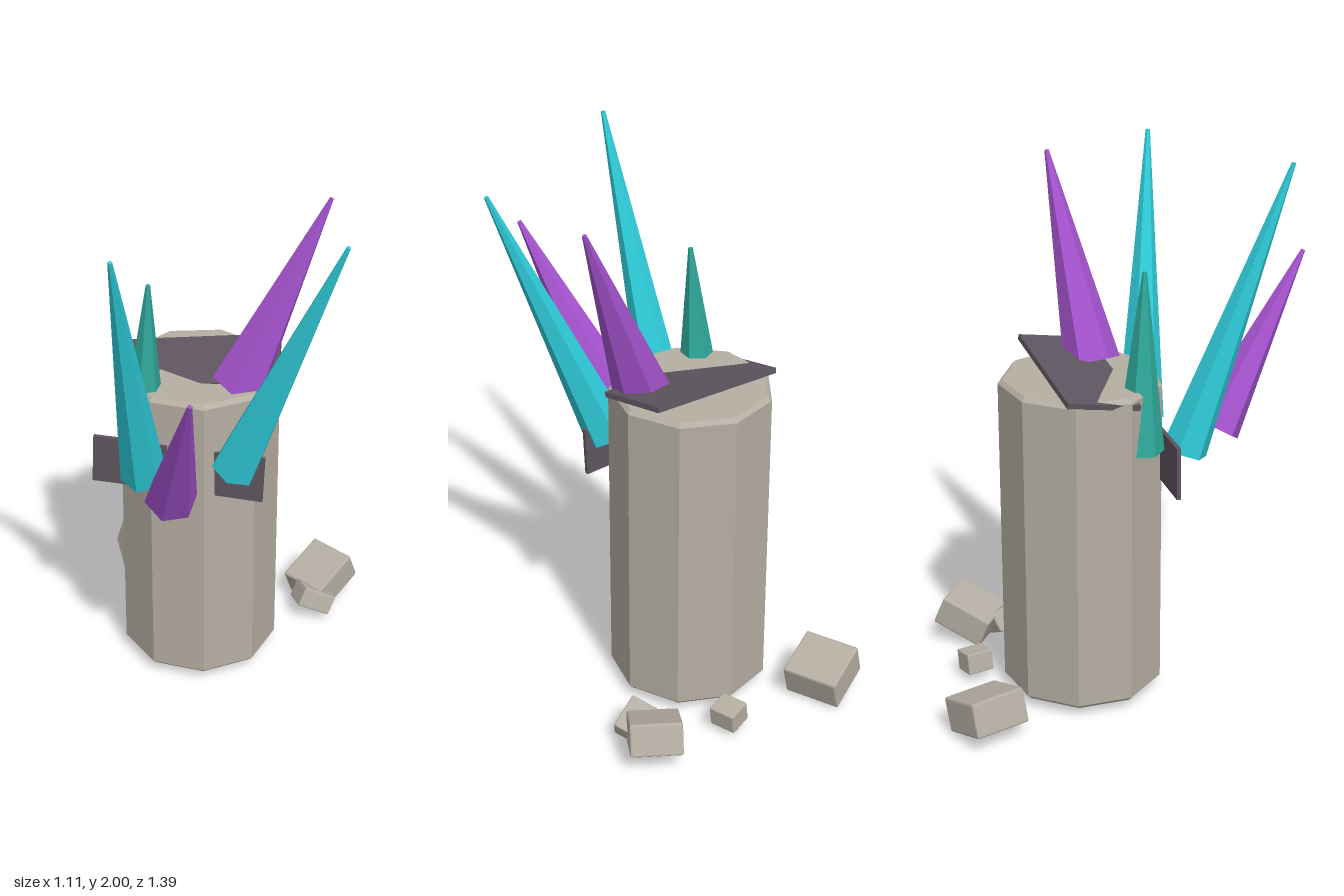
import * as THREE from 'three';
import { RoundedBoxGeometry } from 'three/addons/geometries/RoundedBoxGeometry.js';

const V = (a) => new THREE.Vector3(...a);

function makeMaterial(name, color) {
  const m = new THREE.MeshStandardMaterial({ color, flatShading: true });
  m.name = name;
  return m;
}

// Box whose width runs along u and depth along v; lengths give the size
function slab(name, mat, center, u, v, thickness, bevel) {
  const U = V(u), D = V(v);
  const w = U.length(), d = D.length();
  U.normalize();
  const N = D.clone().cross(U).normalize();
  D.crossVectors(U, N);
  const geo = bevel
    ? new RoundedBoxGeometry(w, thickness, d, 1, bevel)
    : new THREE.BoxGeometry(w, thickness, d);
  const mesh = new THREE.Mesh(geo, mat);
  mesh.name = name;
  mesh.quaternion.setFromRotationMatrix(new THREE.Matrix4().makeBasis(U, N, D));
  mesh.position.set(...center);
  return mesh;
}

// Six-sided spike from a base centre to a tip
function crystal(name, mat, base, tip, radius) {
  const a = V(base), b = V(tip);
  const axis = b.clone().sub(a);
  const length = axis.length();
  const geo = new THREE.CylinderGeometry(0.008, radius, length, 6);
  const mesh = new THREE.Mesh(geo, mat);
  mesh.name = name;
  mesh.quaternion.setFromUnitVectors(new THREE.Vector3(0, 1, 0), axis.normalize());
  mesh.position.copy(a.add(b).multiplyScalar(0.5));
  return mesh;
}

export function createModel() {
  const model = new THREE.Group();
  model.name = 'crystalPillar';
  const stone = makeMaterial('stone', 0xb5aea3);
  const slate = makeMaterial('darkSlate', 0x5e5560);
  const purple = makeMaterial('purpleCrystal', 0xa352cc);
  const cyan = makeMaterial('cyanCrystal', 0x2ecbd8);
  const teal = makeMaterial('tealCrystal', 0x2fa89a);

  // Nine-sided pillar with bevelled rims
  const profile = [[0, 0.04], [0.28, 0.04], [0.295, 0.055], [0.295, 1.22], [0.28, 1.235], [0, 1.235]]
    .map(([r, y]) => new THREE.Vector2(r, y));
  const pillar = new THREE.Mesh(new THREE.LatheGeometry(profile, 9), stone);
  pillar.name = 'pillar';
  pillar.rotation.y = Math.PI;
  pillar.position.set(-0.065, 0, -0.16);
  model.add(pillar);

  // Dark slabs on the top and the front
  model.add(
    slab('topSlab', slate, [-0.06, 1.247, -0.168], [0.56, 0.055, -0.115], [0.06, -0.045, 0.26], 0.02),
    slab('frontSlabRight', slate, [-0.222, 0.96, 0.125], [0.305, -0.014, -0.04], [-0.008, -0.19, 0], 0.015),
    slab('frontSlabLeft', slate, [0.1, 0.943, 0.08], [0.29, -0.012, -0.03], [-0.01, -0.185, 0], 0.015),
  );

  // Crystals
  model.add(
    crystal('tallCrystal', cyan, [-0.165, 0.967, 0.2], [-0.135, 2.0, 0.572], 0.084),
    crystal('sideCrystal', cyan, [0.14, 0.978, 0.088], [0.543, 1.96, 0.172], 0.086),
    crystal('frontCrystal', purple, [-0.017, 0.983, 0.34], [0.163, 1.59, 0.687], 0.094),
    crystal('topCrystal', purple, [0.1, 1.22, -0.098], [0.39, 1.937, -0.222], 0.104),
    crystal('smallCrystal', teal, [-0.222, 1.0, 0.03], [-0.187, 1.65, 0.05], 0.088),
  );

  // Fallen rubble behind the pillar
  model.add(
    slab('rubbleRight', stone, [-0.41, 0.105, -0.55], [0.17, -0.06, -0.09], [0.1, 0, 0.19], 0.13, 0.008),
    slab('rubbleSmall', stone, [0.012, 0.075, -0.56], [0.085, -0.015, -0.035], [0.038, 0, 0.095], 0.08, 0.005),
    slab('rubbleLeft', stone, [0.325, 0.11, -0.555], [0.17, 0, 0.085], [-0.08, -0.08, 0.17], 0.12, 0.008),
    slab('rubbleLeftLow', stone, [0.325, 0.08, -0.435], [0.11, -0.06, -0.05], [0.06, 0.03, 0.1], 0.08, 0.006),
  );
  return model;
}
